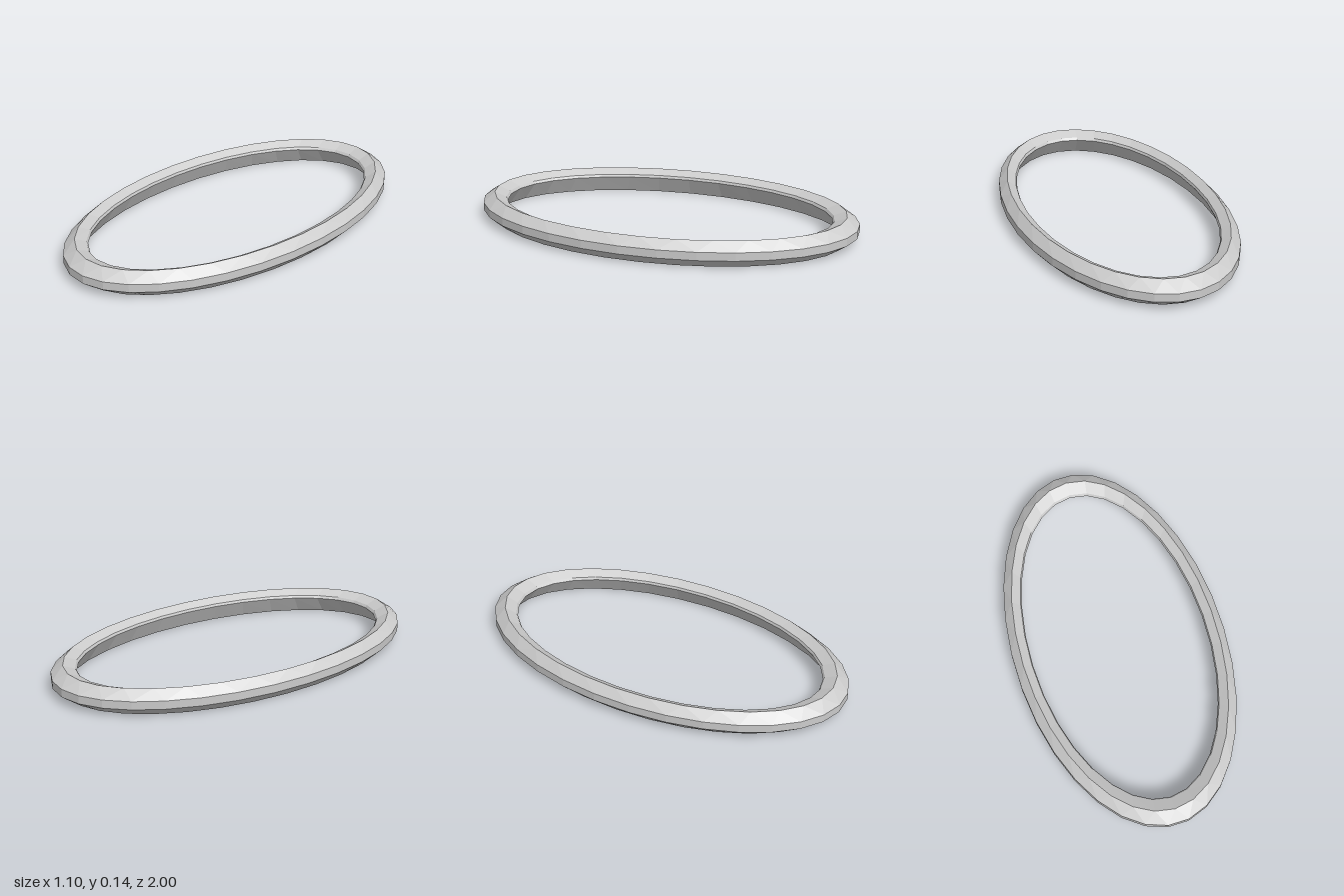
import * as THREE from 'three';

const SEGMENTS = 32;

// Rim cross-section: half width in x, half length in z, height, and turn in steps
const SECTION = [
  [0.51, 0.94, 0, 0],         // bottom edge
  [0.553, 1.005, 0.047, 0.5], // outer wall, low
  [0.553, 1.005, 0.09, 0.5],  // outer wall, high
  [0.51, 0.94, 0.135, 0],     // crest
  [0.466, 0.877, 0.109, 0],   // inner lip, top
  [0.461, 0.868, 0.095, 0],   // inner lip, innermost
];

// Lofts the closed section around the oval; staggered loops join in triangles
function ovalRing(section, segments) {
  const positions = [];
  const index = [];
  for (const [halfX, halfZ, y, turn] of section) {
    for (let i = 0; i < segments; i++) {
      const t = ((i + turn) / segments) * Math.PI * 2;
      positions.push(halfX * Math.sin(t), y, halfZ * Math.cos(t));
    }
  }
  section.forEach((loop, s) => {
    const next = (s + 1) % section.length;
    for (let i = 0; i < segments; i++) {
      const j = (i + 1) % segments;
      const a = s * segments + i, b = s * segments + j;
      const c = next * segments + i, d = next * segments + j;
      if (loop[3] > section[next][3]) index.push(a, d, c, a, b, d);
      else index.push(a, b, c, b, d, c);
    }
  });
  const geometry = new THREE.BufferGeometry();
  geometry.setAttribute('position', new THREE.Float32BufferAttribute(positions, 3));
  geometry.setIndex(index);
  const faceted = geometry.toNonIndexed();
  faceted.computeVertexNormals();
  return faceted;
}

export function createModel() {
  const group = new THREE.Group();
  group.name = 'ovalRing';
  const material = new THREE.MeshStandardMaterial({ color: 0xcccccc, flatShading: true });
  const rim = new THREE.Mesh(ovalRing(SECTION, SEGMENTS), material);
  rim.name = 'rim';
  group.add(rim);
  return group;
}
